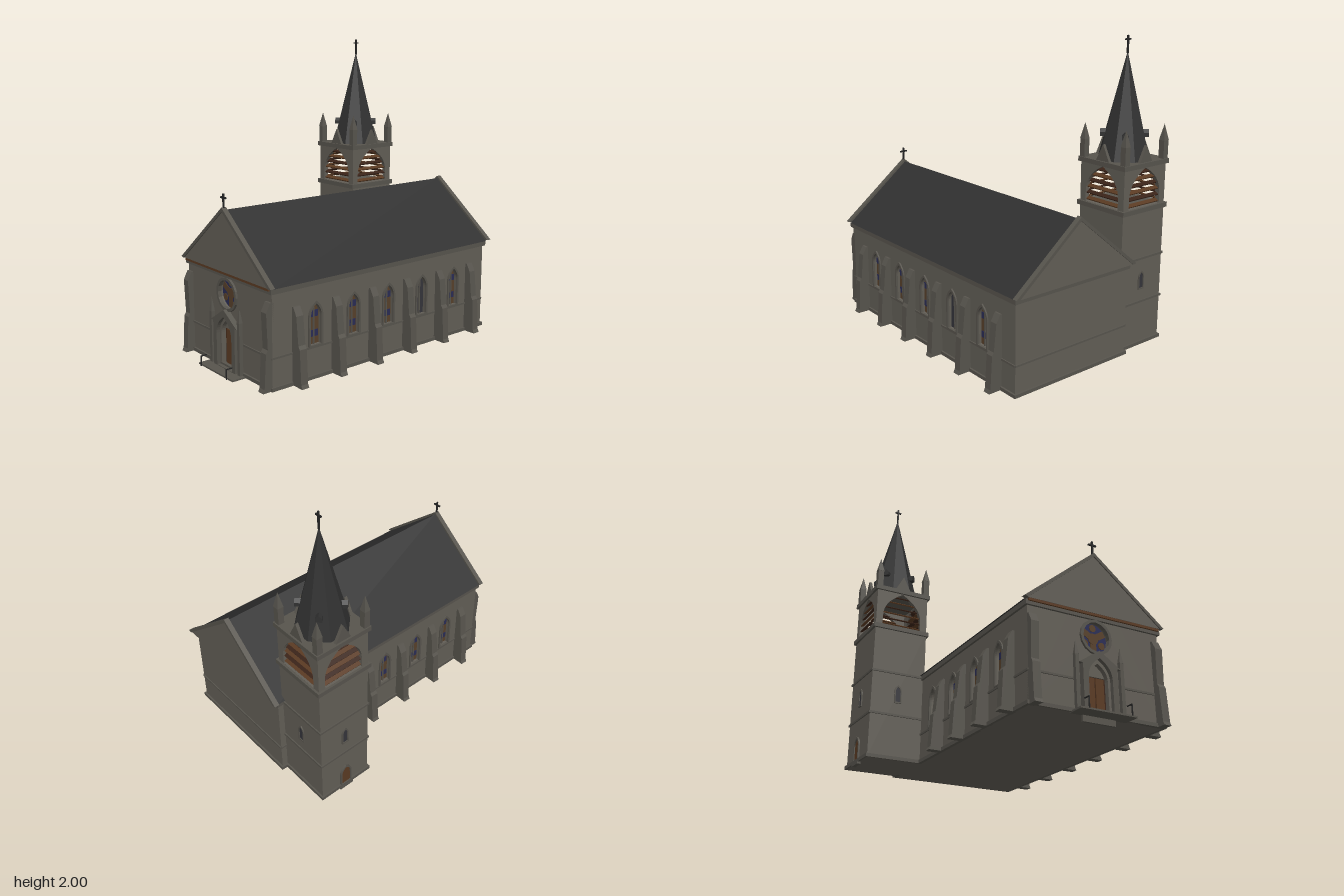
import * as THREE from 'three';

const mat = (name, color) => Object.assign(new THREE.MeshStandardMaterial({ color }), { name });

export function createModel() {
  const stone = mat('stone', 0x625e56), trim = mat('trim stone', 0x57544d), slate = mat('slate', 0x313131);
  const wood = mat('wood', 0x5a3a22), darkWood = mat('dark wood', 0x3a2318), blue = mat('blue glass', 0x292c55);
  const amber = mat('amber glass', 0x57402a), dark = mat('dark glass', 0x34343a), iron = mat('iron', 0x242424);
  const model = new THREE.Group();
  model.name = 'church';

  const NX = 0.14, WALL = 0.445, FRONT = 0.86, BACK = -0.925;   // nave
  const TX = -0.48, TZ = -0.70, TH = 0.185;                     // tower

  const add = (parent, name, geo, m, x = 0, y = 0, z = 0) => {
    const mesh = new THREE.Mesh(geo, m);
    mesh.name = name;
    mesh.position.set(x, y, z);
    parent.add(mesh);
    return mesh;
  };
  const group = (parent, name, x = 0, y = 0, z = 0, ry = 0) => {
    const g = new THREE.Group();
    g.name = name;
    g.position.set(x, y, z);
    g.rotation.y = ry;
    parent.add(g);
    return g;
  };
  // box given by its limits
  const box = (parent, name, m, x0, x1, y0, y1, z0, z1) =>
    add(parent, name, new THREE.BoxGeometry(x1 - x0, y1 - y0, z1 - z0), m, (x0 + x1) / 2, (y0 + y1) / 2, (z0 + z1) / 2);
  const poly = pts => new THREE.Shape(pts.map(p => new THREE.Vector2(p[0], p[1])));
  const rect = (x0, x1, y0, y1) => poly([[x0, y0], [x1, y0], [x1, y1], [x0, y1]]);
  const ex = (shape, depth) => new THREE.ExtrudeGeometry(shape, { depth, bevelEnabled: false, curveSegments: 8 });
  const arch = (w, y0, spring, apex, x = 0) => {
    const s = new THREE.Shape(), k = spring + (apex - spring) * 0.6;
    s.moveTo(x - w, y0); s.lineTo(x + w, y0); s.lineTo(x + w, spring);
    s.quadraticCurveTo(x + w, k, x, apex);
    s.quadraticCurveTo(x - w, k, x - w, spring);
    return s;
  };
  const disc = (r, y = 0) => new THREE.Shape().absarc(0, y, r, 0, Math.PI * 2);
  const holed = (shape, ...holes) => { shape.holes.push(...holes); return shape; };
  const faceted = (r, h, sides, turn) => {
    const g = new THREE.ConeGeometry(r, h, sides).rotateY(turn).toNonIndexed();
    g.computeVertexNormals();
    return g;
  };
  const pinnacle = (parent, x, z, y0, y1, y2, w) => {
    const g = group(parent, 'pinnacle', x, 0, z);
    box(g, 'pinnacleShaft', trim, -w, w, y0, y1, -w, w);
    add(g, 'pinnacleTip', faceted(w * 1.5, y2 - y1, 4, Math.PI / 4), trim, 0, (y1 + y2) / 2, 0);
  };
  const cross = (parent, x, y0, y1, z, arm) => {
    const g = group(parent, 'cross', x, 0, z), t = 0.005;
    box(g, 'crossPost', iron, -t, t, y0, y1, -t, t);
    box(g, 'crossArm', iron, -arm, arm, y1 - 0.03, y1 - 0.02, -t, t);
  };

  // Nave floor, plinth and bands
  const nave = group(model, 'nave');
  const L = NX - WALL, R = NX + WALL;
  box(nave, 'floor', stone, L, R, 0.04, 0.05, BACK, FRONT);
  const ring = (name, m, y0, y1, o) => {
    box(nave, name, m, L - o, R + o, y0, y1, FRONT - 0.01, FRONT + o);
    box(nave, name, m, L - o, R + o, y0, y1, BACK - o, BACK + 0.01);
    box(nave, name, m, L - o, L + 0.01, y0, y1, BACK, FRONT);
    box(nave, name, m, R - 0.01, R + o, y0, y1, BACK, FRONT);
  };
  ring('plinth', trim, 0.04, 0.062, 0.012);
  ring('eavesCornice', trim, 0.61, 0.64, 0.014);
  // sill band, broken at the portal
  for (const [a, b] of [[L - 0.006, NX - 0.12], [NX + 0.12, R + 0.006]]) box(nave, 'sillBand', trim, a, b, 0.228, 0.24, FRONT - 0.01, FRONT + 0.007);
  box(nave, 'sillBand', trim, L, R, 0.228, 0.24, BACK - 0.007, BACK + 0.01);
  box(nave, 'sillBand', trim, L - 0.007, L, 0.228, 0.24, BACK, FRONT);
  box(nave, 'sillBand', trim, R, R + 0.007, 0.228, 0.24, BACK, FRONT);

  // Gable walls
  const gableWall = () => poly([[-WALL, 0.045], [WALL, 0.045], [WALL, 0.64], [0, 1.0], [-WALL, 0.64]]);
  add(nave, 'frontWall', ex(holed(gableWall(), arch(0.075, 0.05, 0.25, 0.36), disc(0.092, 0.505)), 0.04), stone, NX, 0, FRONT - 0.04);
  add(nave, 'backWall', ex(gableWall(), 0.04), stone, NX, 0, BACK);

  // Side walls with traceried lancet windows
  const bays = [0.55, 0.255, -0.035, -0.33, -0.63];
  for (const side of [1, -1]) {
    const wall = group(nave, 'sideWall', side > 0 ? R : L, 0, 0, side * Math.PI / 2);
    const zs = side > 0 ? bays : bays.slice(0, 4);
    const us = zs.map(z => -side * z);
    const ends = [-side * FRONT, -side * BACK].sort((a, b) => a - b);
    add(wall, 'wallPanel', ex(holed(rect(ends[0], ends[1], 0.045, 0.64), ...us.map(u => arch(0.042, 0.245, 0.42, 0.498, u))), 0.04), stone, 0, 0, -0.04);
    us.forEach((u, i) => {
      const w = group(wall, 'window', u);
      const plain = i === 3;
      add(w, 'windowFrame', ex(holed(arch(0.053, 0.24, 0.42, 0.515), arch(0.04, 0.247, 0.42, 0.497)), 0.014), trim, 0, 0, -0.004);
      add(w, 'glass', ex(arch(0.043, 0.24, 0.42, 0.5), 0.006), plain ? dark : amber, 0, 0, -0.028);
      if (!plain) for (const s of [-1, 1]) for (const [y0, y1] of [[0.29, 0.33], [0.41, 0.45]])
        box(w, 'bluePane', blue, s * 0.02 - 0.016, s * 0.02 + 0.016, y0, y1, -0.024, -0.018);
      box(w, 'mullion', trim, -0.004, 0.004, 0.245, 0.47, -0.024, -0.012);
    });
  }

  // Buttresses
  const buttressShape = (k, out) => poly([[-0.01, 0.04], [out + 0.01, 0.04], [out, 0.062], [out - 0.012, 0.27], [out - 0.025, 0.29],
    [0.04, 0.46 * k], [0.012, 0.51 * k], [-0.01, 0.51 * k]]);
  const buttress = (x, z, ry, k, out) =>
    add(group(nave, 'buttress', x, 0, z, ry), 'buttressBody', ex(buttressShape(k, out), 0.05), trim, 0, 0, -0.025);
  [0.695, 0.4, 0.105, -0.19, -0.485, -0.78].forEach((z, i) => {
    buttress(R, z, 0, 1, 0.083);
    if (i < 4) buttress(L, z, Math.PI, 1, 0.083);
  });
  for (const x of [-0.28, 0.56]) buttress(x, FRONT, -Math.PI / 2, 1.1, 0.056);

  // Roof and raised gables
  const chevron = (w, y0, y1, t) => poly([[-w, y0], [-w + t, y0 - 0.005], [0, y1 - t], [w - t, y0 - 0.005], [w, y0], [0, y1]]);
  add(nave, 'roof', ex(chevron(0.466, 0.642, 1.02, 0.035), 1.8), slate, NX, 0, -0.94);
  for (const [z, s] of [[0.86, 1], [-0.97, -1]]) {
    add(nave, 'gableCoping', ex(chevron(0.478, 0.65, 1.036, 0.025), 0.033), trim, NX, 0, z);
    add(nave, 'gablePanel', ex(poly([[-0.455, 0.645], [0.455, 0.645], [0, 1.015]]), 0.026), stone, NX, 0, s > 0 ? z : z + 0.006);
  }
  box(nave, 'gableBeam', wood, L, R, 0.63, 0.646, FRONT, FRONT + 0.024);
  cross(nave, NX, 1.02, 1.118, 0.877, 0.027);

  // Rose window
  const rose = group(nave, 'roseWindow', NX, 0.505, FRONT);
  add(rose, 'roseFrame', ex(holed(disc(0.106), disc(0.088)), 0.024), trim, 0, 0, -0.01);
  add(rose, 'roseGlass', ex(disc(0.093), 0.006), blue, 0, 0, -0.03);
  add(rose, 'roseCentre', ex(disc(0.034), 0.006), amber, 0, 0, -0.026);
  for (let i = 0; i < 3; i++) {
    const a = Math.PI / 2 + i * Math.PI * 2 / 3;
    add(rose, 'rosePetal', ex(rect(0, 0.088, -0.02, 0.02), 0.005), amber, 0, 0, -0.026).rotation.z = a + Math.PI;
    add(rose, 'roseLobe', ex(disc(0.022), 0.005), amber, 0.066 * Math.cos(a), 0.066 * Math.sin(a), -0.026);
  }

  // Portal with door, steps and rails
  const portal = group(model, 'portal', NX, 0, FRONT);
  add(portal, 'portalGable', ex(holed(poly([[-0.115, 0.045], [0.115, 0.045], [0.115, 0.325], [0.14, 0.325], [0, 0.415], [-0.14, 0.325], [-0.115, 0.325]]),
    arch(0.08, 0.05, 0.25, 0.37)), 0.035), trim);
  add(portal, 'innerArch', ex(holed(arch(0.08, 0.046, 0.25, 0.37), arch(0.064, 0.05, 0.25, 0.345)), 0.03), stone, 0, 0, -0.02);
  box(portal, 'tympanum', stone, -0.075, 0.075, 0.275, 0.36, -0.036, -0.022);
  box(portal, 'doorway', darkWood, -0.075, 0.075, 0.05, 0.28, -0.04, -0.03);
  for (const s of [-1, 1]) {
    box(portal, 'doorLeaf', wood, s * 0.031 - 0.027, s * 0.031 + 0.027, 0.05, 0.27, -0.03, -0.022);
    pinnacle(portal, s * 0.15, 0.02, 0.045, 0.37, 0.46, 0.012);
    box(portal, 'railBar', iron, s * 0.14 - 0.003, s * 0.14 + 0.003, 0.1, 0.106, 0.07, 0.115);
    box(portal, 'railPost', iron, s * 0.14 - 0.003, s * 0.14 + 0.003, 0.04, 0.106, 0.109, 0.115);
  }
  box(portal, 'landing', trim, -0.185, 0.185, 0.036, 0.046, -0.01, 0.1);
  box(portal, 'step', trim, -0.108, 0.108, 0, 0.04, -0.012, 0.002);

  // Tower shaft
  const tower = group(model, 'tower', TX, 0, TZ);
  const slab = (name, m, h, y0, y1) => box(tower, name, m, -h, h, y0, y1, -h, h);
  slab('shaft', stone, TH, 0.04, 0.96);
  slab('towerPlinth', trim, TH + 0.012, 0.04, 0.062);
  for (const y of [0.33, 0.62]) slab('stringCourse', trim, TH + 0.008, y, y + 0.014);
  slab('belfryCornice', trim, TH + 0.014, 0.932, 0.962);
  slab('parapetCornice', trim, TH + 0.014, 1.215, 1.245);

  // Four belfry faces with louvres, slit windows and gablets
  for (let i = 0; i < 4; i++) {
    const f = group(tower, 'towerFace', 0, 0, 0, i * Math.PI / 2);
    add(f, 'belfryWall', ex(holed(rect(-TH, TH, 0.96, 1.22), arch(0.138, 0.963, 1.03, 1.212)), 0.03), stone, 0, 0, TH - 0.03);
    for (let j = 0; j < 6; j++) {
      const y = 0.982 + j * 0.041, w = y < 1.05 ? 0.136 : 0.136 * Math.sqrt((1.222 - y) / 0.172);
      add(f, 'louvre', new THREE.BoxGeometry(w * 2, 0.008, 0.026), j % 2 ? darkWood : wood, 0, y, TH - 0.018).rotation.x = 0.55;
    }
    if (i !== 1) {
      add(f, 'slitFrame', ex(holed(arch(0.025, 0.42, 0.5, 0.545), arch(0.017, 0.43, 0.5, 0.532)), 0.008), trim, 0, 0, TH);
      add(f, 'slitGlass', ex(arch(0.019, 0.425, 0.5, 0.535), 0.003), dark, 0, 0, TH);
    }
    add(f, 'gablet', ex(poly([[-0.055, 1.245], [0.055, 1.245], [0, 1.35]]), 0.02), trim, 0, 0, TH - 0.018);
    // spire dormer on a diagonal face
    const d = group(tower, 'spireDormer', 0, 0, 0, Math.PI / 4 + i * Math.PI / 2);
    add(d, 'dormer', ex(poly([[-0.02, 1.38], [0.02, 1.38], [0.02, 1.405], [0, 1.425], [-0.02, 1.405]]), 0.06), slate, 0, 0, 0.09);
    const c = i * Math.PI / 2 + Math.PI / 4, r = 0.172 * Math.SQRT2;
    pinnacle(tower, r * Math.cos(c), r * Math.sin(c), 1.235, 1.36, 1.462, 0.02);
  }
  // Tower side door
  const side = group(tower, 'towerDoor', -TH, 0, 0, -Math.PI / 2);
  add(side, 'doorFrame', ex(holed(arch(0.043, 0.045, 0.15, 0.215), arch(0.033, 0.05, 0.15, 0.2)), 0.012), trim);
  add(side, 'doorPanel', ex(arch(0.035, 0.048, 0.15, 0.203), 0.005), wood);
  box(side, 'doorStep', trim, -0.05, 0.05, 0.026, 0.042, -0.01, 0.014);

  // Spire
  add(tower, 'spire', faceted(0.168, 0.66, 8, Math.PI / 8), slate, 0, 1.575, 0);
  cross(tower, 0, 1.89, 2.0, 0, 0.022);
  return model;
}
